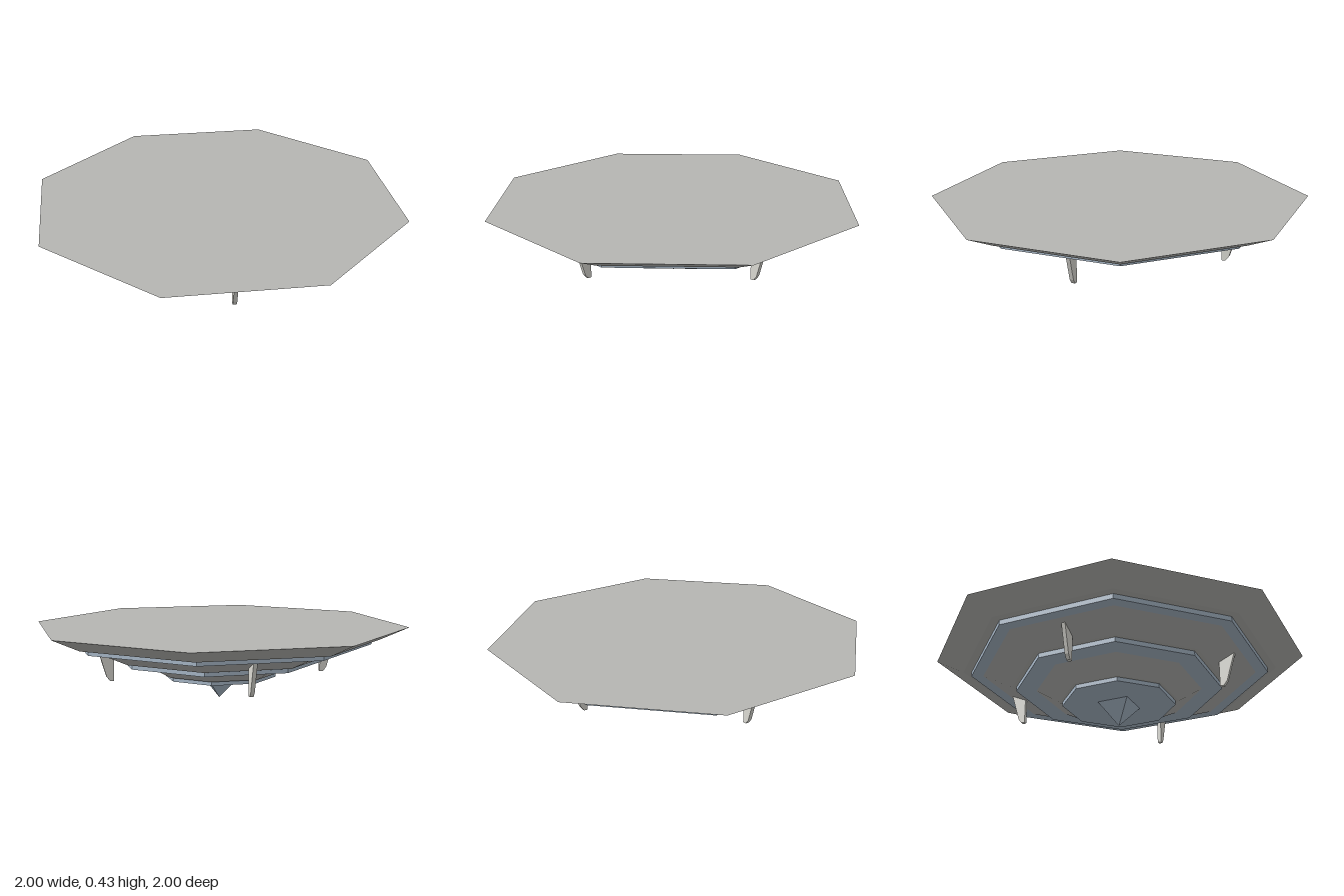
import * as THREE from 'three';

const material = (name, color) => {
  const m = new THREE.MeshStandardMaterial({ color, flatShading: true });
  m.name = name;
  return m;
};

export function createModel() {
  const grey = material('hull grey', 0xb6b6b3);
  const blue = material('pale blue', 0xaabaca);
  const white = material('off white', 0xdcdbd4);
  const model = new THREE.Group();
  model.name = 'octagonalPlatform';

  // Eight-sided tier with flat faces on the axes; sizes are centre-to-face
  const tier = (name, top, bottom, y0, y1, mat) => {
    const k = 1 / Math.cos(Math.PI / 8);
    const geo = new THREE.CylinderGeometry(top * k, bottom * k, y1 - y0, 8, 1, false, Math.PI / 8);
    const mesh = new THREE.Mesh(geo, mat);
    mesh.name = name;
    mesh.position.y = (y0 + y1) / 2;
    model.add(mesh);
  };

  // Three tapering hull tiers, each with a straight band beneath
  tier('upperHull', 1, 0.85, 0.358, 0.43, grey);
  tier('upperBand', 0.805, 0.805, 0.33, 0.358, blue);
  tier('middleHull', 0.74, 0.58, 0.255, 0.33, grey);
  tier('middleBand', 0.555, 0.555, 0.228, 0.255, blue);
  tier('lowerHull', 0.445, 0.32, 0.154, 0.228, grey);
  tier('lowerBand', 0.303, 0.303, 0.13, 0.154, blue);

  // Crystal at the bottom, half sunk into the lowest band
  const crystal = new THREE.Mesh(new THREE.OctahedronGeometry(0.13), blue);
  crystal.name = 'crystal';
  crystal.position.y = 0.13;
  model.add(crystal);

  // Four radial fins on the diagonals
  const profile = [[0.62, 0.128], [0.642, 0.128], [0.662, 0.155], [0.71, 0.316], [0.62, 0.29]];
  const finShape = new THREE.Shape(profile.map(([r, y]) => new THREE.Vector2(r, y)));
  const finGeo = new THREE.ExtrudeGeometry(finShape, { depth: 0.022, bevelEnabled: false });
  finGeo.translate(0, 0, -0.011);
  for (let i = 0; i < 4; i++) {
    const fin = new THREE.Mesh(finGeo, white);
    fin.name = `fin${i + 1}`;
    fin.rotation.y = Math.PI / 4 + (i * Math.PI) / 2;
    model.add(fin);
  }
  return model;
}
